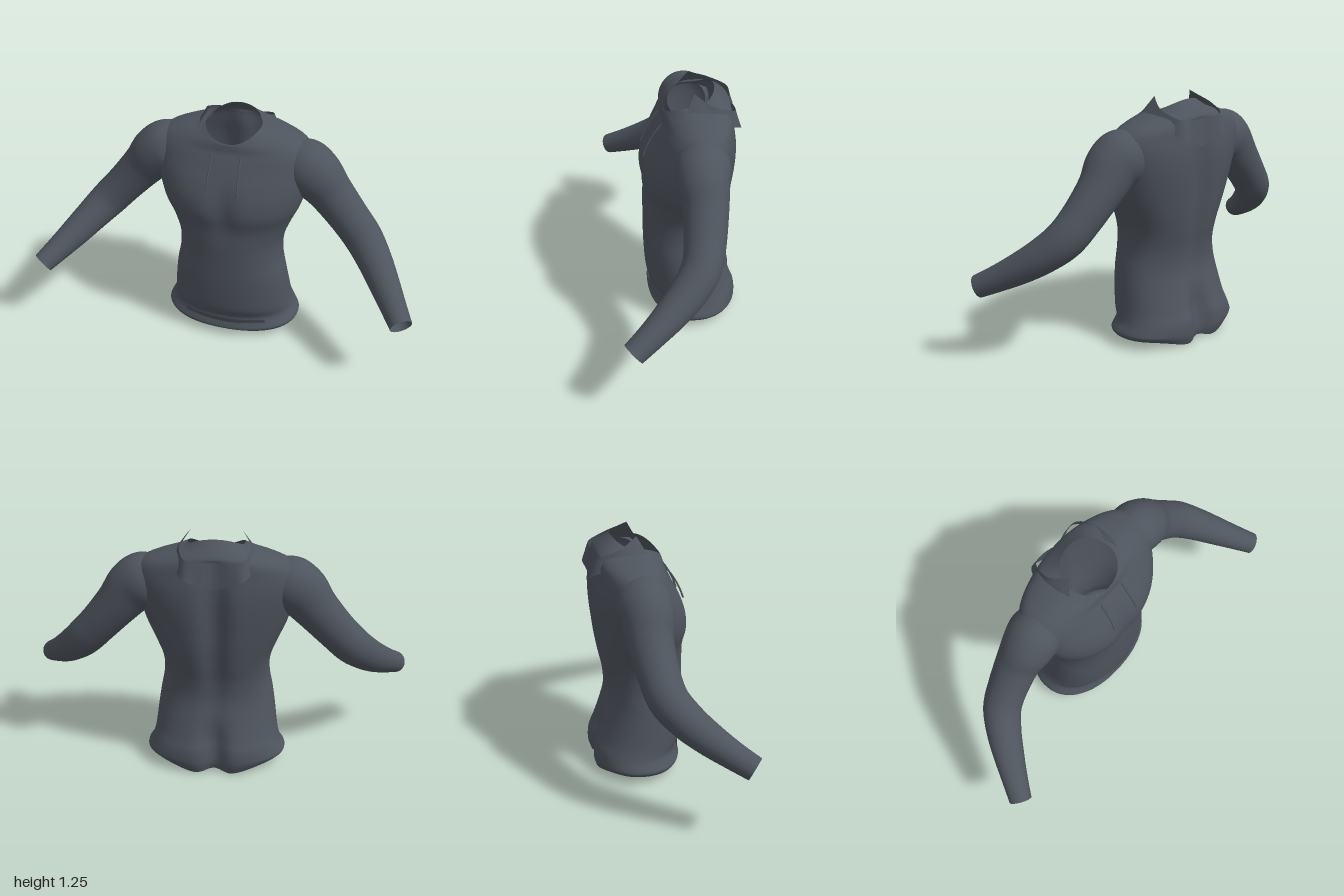
import * as THREE from 'three';

const fabric = new THREE.MeshStandardMaterial({ color: 0x4e545d, side: THREE.DoubleSide });
fabric.name = 'slate fabric';

// Catmull-Rom blend through rows of numbers, t from 0 to 1
function sample(rows, t) {
  const n = rows.length - 1;
  const i = Math.min(Math.floor(t * n), n - 1);
  const f = t * n - i;
  const row = (k) => rows[Math.max(0, Math.min(n, k))];
  const [a, b, c, d] = [row(i - 1), row(i), row(i + 1), row(i + 2)];
  return b.map((_, k) => 0.5 * (2 * b[k] + (c[k] - a[k]) * f
    + (2 * a[k] - 5 * b[k] + 4 * c[k] - d[k]) * f * f
    + (3 * b[k] - a[k] - 3 * c[k] + d[k]) * f * f * f));
}

// Smooth surface from a grid of points; closed joins last column to first
function loft(rows, cols, closed, point) {
  const pos = [], index = [];
  const n = closed ? cols : cols + 1;
  for (let r = 0; r <= rows; r++) {
    for (let c = 0; c < n; c++) pos.push(...point(r / rows, c / cols));
  }
  for (let r = 0; r < rows; r++) {
    for (let c = 0; c < cols; c++) {
      const a = r * n + c, b = r * n + (c + 1) % n;
      index.push(a, a + n, b, b, a + n, b + n);
    }
  }
  const geo = new THREE.BufferGeometry();
  geo.setAttribute('position', new THREE.Float32BufferAttribute(pos, 3));
  geo.setIndex(index);
  geo.computeVertexNormals();
  return geo;
}

function part(name, geo) {
  const mesh = new THREE.Mesh(geo, fabric);
  mesh.name = name;
  return mesh;
}

// Torso rings: side y, front y, back y, half width, front z, back z, front dent, back dent
const torsoRings = [
  [0.065, 0.065, 0.01, 0.345, 0.135, -0.31, 0, 0.04],
  [0.09, 0.08, 0.07, 0.36, 0.14, -0.325, 0, 0.05],
  [0.14, 0.14, 0.14, 0.333, 0.125, -0.322, 0, 0.06],
  [0.2, 0.2, 0.2, 0.318, 0.147, -0.3, 0, 0.05],
  [0.3, 0.3, 0.3, 0.305, 0.155, -0.265, 0, 0.02],
  [0.4, 0.4, 0.4, 0.29, 0.158, -0.24, 0, 0.015],
  [0.5, 0.5, 0.5, 0.272, 0.158, -0.245, 0, 0.02],
  [0.6, 0.6, 0.6, 0.275, 0.158, -0.268, 0, 0.03],
  [0.7, 0.7, 0.7, 0.31, 0.158, -0.285, 0.005, 0.035],
  [0.79, 0.79, 0.79, 0.35, 0.174, -0.295, 0.02, 0.04],
  [0.87, 0.87, 0.87, 0.375, 0.166, -0.303, 0.02, 0.045],
  [0.95, 0.95, 0.95, 0.395, 0.137, -0.306, 0.01, 0.045],
  [1.03, 1.02, 1.02, 0.405, 0.1, -0.302, 0, 0.04],
  [1.09, 1.07, 1.09, 0.395, 0.075, -0.292, 0, 0.03],
  [1.135, 1.1, 1.13, 0.355, 0.06, -0.288, 0, 0.02],
  [1.167, 1.125, 1.16, 0.28, 0.055, -0.284, 0, 0.01],
  [1.19, 1.14, 1.19, 0.2, 0.052, -0.27, 0, 0],
  [1.205, 1.145, 1.255, 0.14, 0.048, -0.2, 0, 0],
];

function torsoPoint(t, u) {
  const [ys, yf, yb, w, zf, zb, df, db] = sample(torsoRings, t);
  const c = Math.cos(u * Math.PI * 2), s = Math.sin(u * Math.PI * 2);
  const x = w * Math.sign(c) * Math.abs(c) ** 0.9;
  const mid = (zf + zb) / 2;
  const groove = Math.exp(-((x / 0.06) ** 2)) * Math.abs(s);
  const z = mid + (zf - zb) / 2 * Math.sign(s) * Math.abs(s) ** 0.9
    + groove * (s > 0 ? -df : db);
  const power = t < 0.06 ? 6 : 2; // the hem dips only in the middle of the back
  const tail = t < 0.06 && s < 0 ? groove * 0.025 * (1 - t / 0.06) : 0;
  const y = ys + ((s > 0 ? yf : yb) - ys) * Math.abs(s) ** power + tail;
  return [x, y, z];
}

// Sleeve rings: centre x, y, z, then radius across and radius front to back
const sleeveRings = [
  [0.27, 1.04, -0.1, 0.1, 0.1],
  [0.35, 1.01, -0.1, 0.138, 0.133],
  [0.42, 0.962, -0.095, 0.136, 0.128],
  [0.495, 0.875, -0.098, 0.115, 0.11],
  [0.6, 0.755, -0.083, 0.102, 0.1],
  [0.685, 0.662, -0.055, 0.098, 0.095],
  [0.76, 0.585, 0.015, 0.088, 0.088],
  [0.825, 0.52, 0.1, 0.078, 0.078],
  [0.89, 0.46, 0.195, 0.066, 0.066],
  [0.948, 0.41, 0.284, 0.056, 0.058],
];

function sleevePoint(t, u) {
  const ring = sample(sleeveRings, t);
  const p = new THREE.Vector3(...ring);
  const ahead = new THREE.Vector3(...sample(sleeveRings, Math.min(1, t + 0.01)));
  const behind = new THREE.Vector3(...sample(sleeveRings, Math.max(0, t - 0.01)));
  const dir = ahead.sub(behind).normalize();
  const v = new THREE.Vector3(0, 0, 1).addScaledVector(dir, -dir.z).normalize();
  const w = dir.clone().cross(v);
  const a = u * Math.PI * 2;
  p.addScaledVector(w, Math.cos(a) * ring[3]).addScaledVector(v, Math.sin(a) * ring[4]);
  return p.toArray();
}

// Collar columns from left tip to the middle of the back: top point, then lower point
const halfCollar = [
  [0.125, 1.27, -0.09, 0.185, 1.165, -0.03],
  [0.15, 1.245, -0.13, 0.205, 1.165, -0.11],
  [0.172, 1.215, -0.19, 0.205, 1.13, -0.21],
  [0.145, 1.18, -0.28, 0.15, 1.09, -0.312],
  [0.07, 1.17, -0.29, 0.08, 1.06, -0.31],
  [0, 1.165, -0.275, 0, 1.035, -0.295],
];
const collarColumns = [
  ...halfCollar,
  ...halfCollar.slice(0, -1).reverse().map(([a, b, c, d, e, f]) => [-a, b, c, -d, e, f]),
];

function collarPoint(t, u) {
  const k = sample(collarColumns, 1 - u);
  return [0, 1, 2].map((i) => k[i + 3] + (k[i] - k[i + 3]) * t);
}

export function createModel() {
  const model = new THREE.Group();
  model.name = 'pullover';

  model.add(part('torso', loft(102, 96, true, torsoPoint)));
  model.add(part('collar', loft(4, 40, false, collarPoint)));

  const sleeve = loft(54, 40, true, sleevePoint);
  for (const side of [1, -1]) {
    const word = side > 0 ? 'left' : 'right';
    const arm = part(word + 'Sleeve', sleeve);
    arm.scale.x = side;
    model.add(arm);

    // Thin drawstrings hanging down the chest
    const path = new THREE.CatmullRomCurve3([
      new THREE.Vector3(side * 0.073, 1.09, 0.065),
      new THREE.Vector3(side * 0.075, 1.03, 0.108),
      new THREE.Vector3(side * 0.077, 0.97, 0.14),
      new THREE.Vector3(side * 0.08, 0.92, 0.158),
    ]);
    model.add(part(word + 'Drawstring', new THREE.TubeGeometry(path, 16, 0.005, 6)));
  }

  // Folded seam across the front of the hem
  const seam = loft(2, 24, false, (t, u) => {
    const x = 0.22 - 0.44 * u;
    return [x, 0.14 - 0.03 * t, 0.14 - 0.9 * x * x - 0.008 * t];
  });
  model.add(part('hemSeam', seam));
  return model;
}
